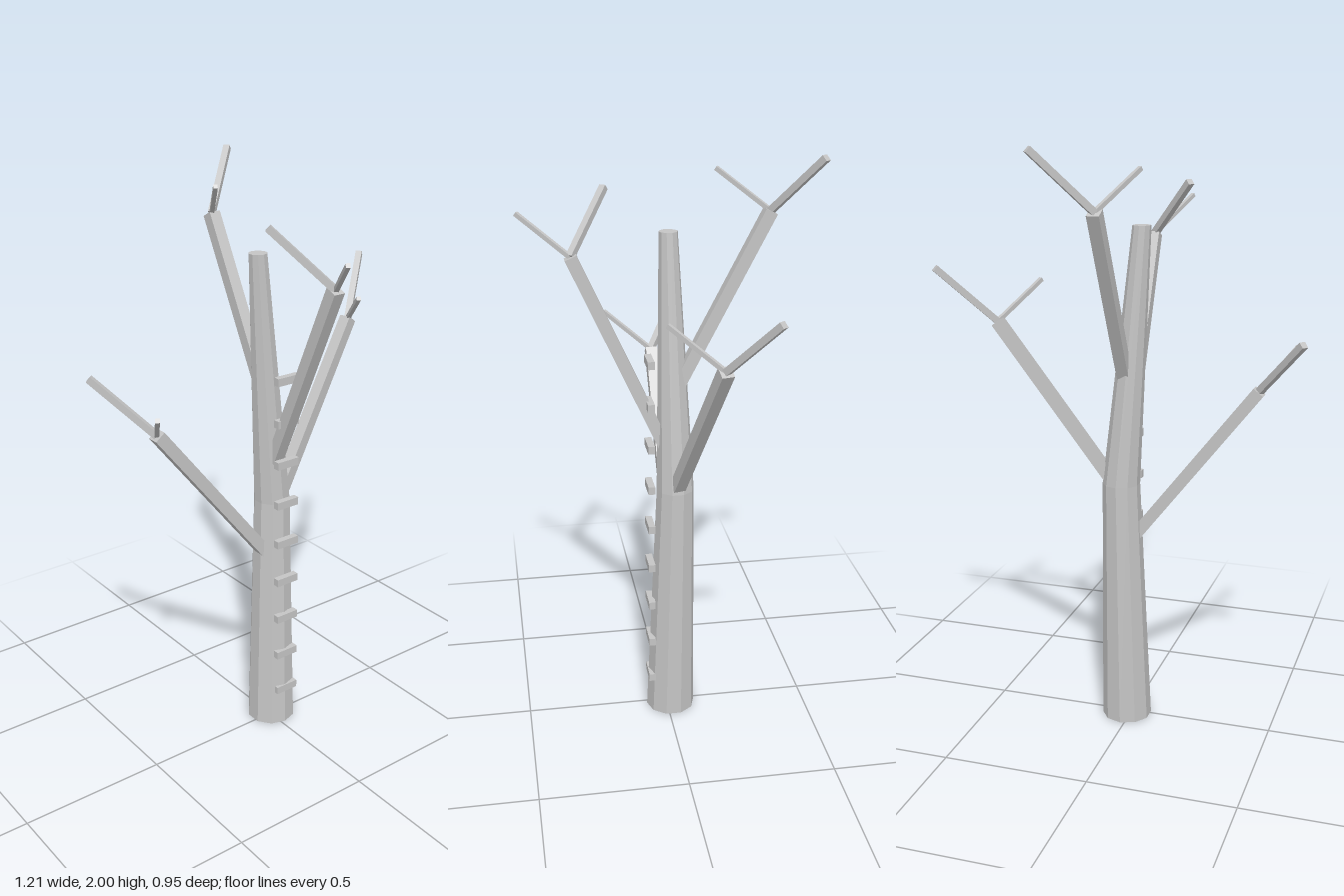
import * as THREE from 'three';

const bark = new THREE.MeshStandardMaterial({ color: 0xc4c4c4, flatShading: true });
bark.name = 'pale grey';

// Square beam running between two points, one pair of sides kept upright
function beam(name, from, to, width) {
  const a = new THREE.Vector3(...from), b = new THREE.Vector3(...to);
  const mesh = new THREE.Mesh(new THREE.BoxGeometry(width, width, a.distanceTo(b)), bark);
  mesh.position.copy(a).lerp(b, 0.5);
  mesh.lookAt(b);
  mesh.name = name;
  return mesh;
}

// Tapered trunk with a bend halfway up; each ring is [x, y, z, radius]
function trunk() {
  const rings = [[0.015, 0, -0.014, 0.086], [0.03, 0.87, -0.028, 0.064], [-0.037, 1.74, -0.014, 0.031]];
  const geo = new THREE.CylinderGeometry(1, 1, 2, 10, 2);
  const p = geo.attributes.position;
  for (let i = 0; i < p.count; i++) {
    const [x, y, z, r] = rings[Math.round(p.getY(i)) + 1];
    p.setXYZ(i, x + p.getX(i) * r, y, z + p.getZ(i) * r);
  }
  geo.computeVertexNormals();
  const mesh = new THREE.Mesh(geo, bark);
  mesh.name = 'trunk';
  return mesh;
}

export function createModel() {
  const model = new THREE.Group();
  model.name = 'bareTree';
  model.add(trunk());

  // Four branches, each forking into a thick and a thin twig
  const branches = [
    { name: 'rightBranch', from: [-0.01, 0.675, -0.015], to: [-0.435, 1.22, -0.015], side: -1 },
    { name: 'leftBranch', from: [0.075, 0.895, -0.03], to: [0.432, 1.42, -0.112], side: 1 },
    { name: 'backBranch', from: [0.013, 1.23, -0.035], to: [0.013, 1.805, -0.335], side: 1 },
    { name: 'frontBranch', from: [0.013, 1.03, 0.01], to: [0.013, 1.68, 0.305], side: -1 },
  ];
  for (const { name, from, to, side } of branches) {
    const [x, y, z] = to;
    const group = new THREE.Group();
    group.name = name;
    group.add(
      beam('limb', from, to, 0.041),
      beam('thickTwig', to, [x + side * 0.158, y + 0.186, z - 0.127], 0.022),
      beam('thinTwig', to, [x - 0.095, y + 0.122, z + 0.16], 0.014),
    );
    model.add(group);
  }

  // Ladder rungs up the front
  const rungGeo = new THREE.BoxGeometry(0.087, 0.027, 0.023);
  for (let i = 0; i < 9; i++) {
    const rung = new THREE.Mesh(rungGeo, bark);
    rung.name = 'rung';
    rung.position.set(0.025, 0.142 + i * 0.148, 0.058);
    model.add(rung);
  }
  return model;
}
